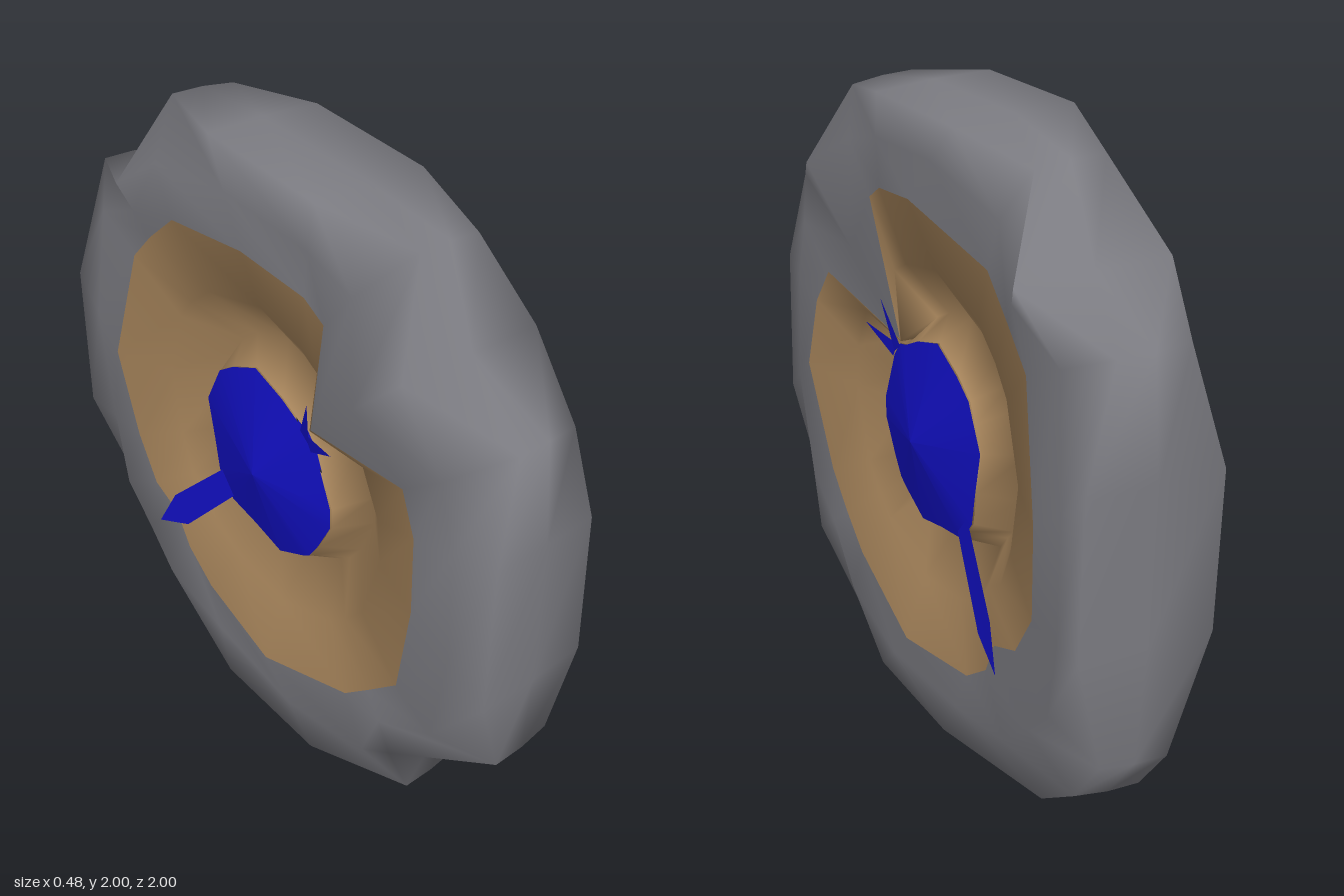
import * as THREE from 'three';

// Outline stations around the axle: z, height from centre, half width of tread (0 = pinched tip)
const OUTLINE = [
  [.58, -.99, 0], [.67, -.66, .24], [.96, -.57, 0], [1, -.25, .19], [1, .24, .18],
  [.95, .54, 0], [.67, .67, .24], [.54, .94, 0], [.24, .99, .19], [-.24, 1, .19],
  [-.58, .96, 0], [-.67, .68, .24], [-1, .58, 0], [-1, .2, .21], [-.99, -.3, .21],
  [-.99, -.67, 0], [-.86, -.85, 0], [-.68, -.98, 0], [-.2, -1, .21], [.25, -1, .21],
];
// Outer edge of the inner disc: z, height, distance from the middle plane
const DISC = [
  [.41, -.64, .2], [.52, -.54, .2], [.64, -.43, .195], [.73, -.06, .23], [.7, .17, .205],
  [.63, .29, .19], [.18, .21, .155], [.29, .64, .195], [.21, .69, .2], [-.04, .73, .23],
  [-.44, .64, .195], [-.56, .53, .2], [-.66, .42, .2], [-.76, .02, .23], [-.71, -.3, .2],
  [-.62, -.45, .2], [-.5, -.5, .2], [-.44, -.62, .195], [-.32, -.71, .195], [.03, -.76, .225],
];
// Rim of the hub: z, height
const HUB = [
  [.15, -.28], [.18, -.26], [.22, -.2], [.28, -.09], [.28, -.02],
  [.21, .15], [.17, .2], [.13, .21], [.05, .25], [-.08, .29],
  [-.2, .23], [-.27, .18], [-.3, .12], [-.34, .04], [-.31, -.1],
  [-.29, -.21], [-.26, -.25], [-.22, -.29], [-.1, -.31], [.03, -.34],
];

const mix = (a, b, t) => [a[0] + (b[0] - a[0]) * t, a[1] + (b[1] - a[1]) * t];
const point = (x, [z, h]) => [x, h + 1, z];

function surface(points, index) {
  const g = new THREE.BufferGeometry();
  g.setAttribute('position', new THREE.Float32BufferAttribute(points.flat(), 3));
  g.setIndex(index);
  g.computeVertexNormals();
  return g;
}

// Closed skin through rings of points, running from the +x side to the -x side
function loft(rings) {
  const n = rings[0].length, index = [];
  for (let r = 0; r < rings.length - 1; r++) {
    for (let c = 0; c < n; c++) {
      const a = r * n + c, b = r * n + (c + 1) % n;
      index.push(a, b, a + n, b, b + n, a + n);
    }
  }
  return surface(rings.flat(), index);
}

// Flat pointed blade; corners are x, z, height
function blade(corners) {
  const index = [];
  for (let i = 1; i < corners.length - 1; i++) index.push(0, i, i + 1);
  return surface(corners.map(([x, z, h]) => point(x, [z, h])), index);
}

export function createModel() {
  const model = new THREE.Group();
  const material = (color) => new THREE.MeshStandardMaterial({ color, side: THREE.DoubleSide });
  const grey = material(0x7c7c82), tan = material(0xa5835a), blue = material(0x1210c4);
  const add = (name, geometry, mat) => {
    const mesh = new THREE.Mesh(geometry, mat);
    mesh.name = name;
    model.add(mesh);
  };

  // Tyre: wall, shoulder, tread edge, tread middle, then the same on the other side
  const wall = (s) => DISC.map((p) => point(s * p[2], p));
  const shoulder = (s) => DISC.map((p, i) =>
    point(s * Math.max(.2, (p[2] + OUTLINE[i][2]) / 2), mix(p, OUTLINE[i], .5)));
  const edge = (s) => {
    const inset = s > 0 ? .98 : 1;
    return OUTLINE.map((p) =>
      point(p[2] ? s * p[2] : (s > 0 ? .13 : -.08), [p[0] * inset, p[1] * inset]));
  };
  const middle = OUTLINE.map((p) => point(p[2] ? 0 : .025, [p[0] * .995, p[1] * .995]));
  add('tyre', loft([wall(1), shoulder(1), edge(1), middle, edge(-1), shoulder(-1), wall(-1)]), grey);

  for (const s of [1, -1]) {
    const side = s > 0 ? 'Right' : 'Left';
    const skin = (rings) => loft(s > 0 ? rings : rings.reverse());

    // Dished disc with a deep groove behind the hub rim
    add('disc' + side, skin([
      HUB.map((p) => point(s * .155, p)),
      HUB.map((p, i) => point(s * .04, mix(p, DISC[i], .14))),
      HUB.map((p, i) => point(s * .155, mix(p, DISC[i], .5))),
      wall(s),
    ]), tan);

    // Conical hub
    add('hub' + side, skin([
      HUB.map(() => point(s * .225, [-.02, -.04])),
      HUB.map((p) => point(s * .16, p)),
    ]), blue);

    // Long pointer and two short barbs
    add('pointer' + side, blade([
      [s * .165, -.27, -.2], [s * .21, -.49, -.42], [s * .23, -.56, -.56],
      [s * .21, -.42, -.5], [s * .165, -.21, -.27],
    ]), blue);
    add('upperBarb' + side, blade([
      [s * .17, .19, .17], [s * .2, .22, .34], [s * .17, .15, .2]]), blue);
    add('frontBarb' + side, blade([
      [s * .17, .2, .15], [s * .2, .33, .225], [s * .17, .17, .2]]), blue);
  }
  return model;
}
